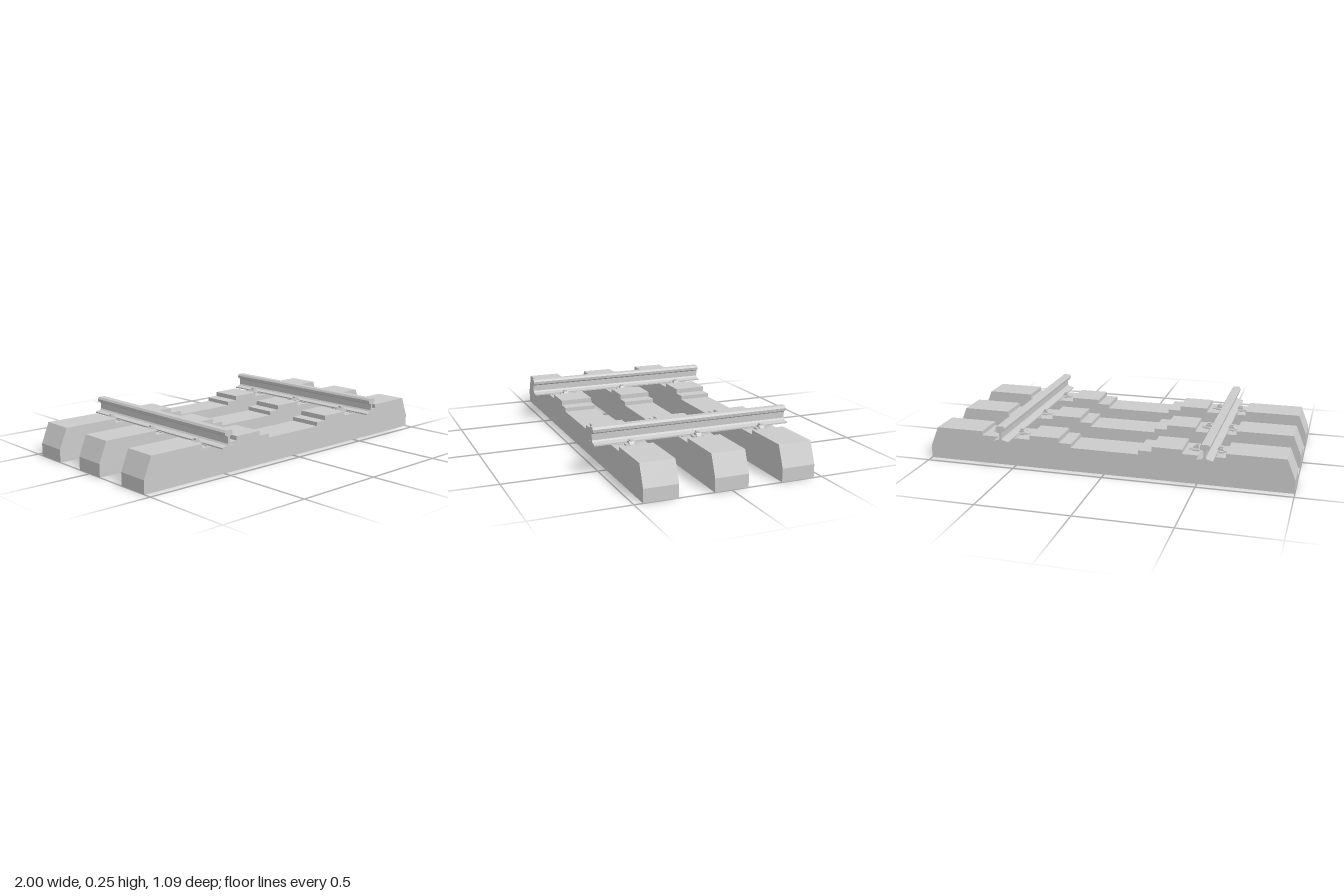
import * as THREE from 'three';

const material = new THREE.MeshStandardMaterial({ color: 0xcccccc, flatShading: true });

// Extrudes an x/y outline along z, centred on z = 0
function extrude(points, depth) {
  const shape = new THREE.Shape(points.map(([x, y]) => new THREE.Vector2(x, y)));
  const geometry = new THREE.ExtrudeGeometry(shape, { depth, bevelEnabled: false });
  return geometry.translate(0, 0, -depth / 2);
}

function addPart(parent, name, geometry, x = 0, y = 0, z = 0) {
  const mesh = new THREE.Mesh(geometry, material);
  mesh.name = name;
  mesh.position.set(x, y, z);
  parent.add(mesh);
  return mesh;
}

export function createModel() {
  const model = new THREE.Group();
  model.name = 'railwayTrack';

  const sleeperZ = [-0.365, 0, 0.365];
  const railX = [-0.552, 0.544];

  // Sleeper outline: sloping ends, recessed rail seats and a stepped middle
  const sleeper = extrude([
    [-1, 0], [1, 0], [1, 0.07], [0.955, 0.18],
    [0.69, 0.18], [0.69, 0.157], [0.416, 0.157], [0.416, 0.18],
    [0.25, 0.18], [0.25, 0.154], [0.183, 0.154], [0.183, 0.132],
    [-0.187, 0.132], [-0.187, 0.154], [-0.258, 0.154], [-0.258, 0.18],
    [-0.42, 0.18], [-0.42, 0.157], [-0.647, 0.157], [-0.647, 0.18],
    [-0.955, 0.18], [-1, 0.07],
  ], 0.18);

  // Rail outline: right half from foot to head, then mirrored
  const half = [
    [0.042, 0.16], [0.042, 0.167], [0.012, 0.174], [0.006, 0.182],
    [0.006, 0.215], [0.012, 0.221], [0.023, 0.224], [0.025, 0.239], [0.018, 0.25],
  ];
  const rail = extrude([...half, ...half.map(([x, y]) => [-x, y]).reverse()], 1.09);

  // Spring clip outline: a low strip bent up around its bolt
  const clip = extrude([
    [-0.04, 0.156], [0.04, 0.156], [0.04, 0.163], [0.02, 0.165],
    [0.009, 0.179], [-0.009, 0.179], [-0.02, 0.165], [-0.04, 0.163],
  ], 0.026);
  const bolt = new THREE.BoxGeometry(0.02, 0.012, 0.017);
  const washer = new THREE.BoxGeometry(0.034, 0.01, 0.06);

  for (const z of sleeperZ) {
    addPart(model, 'sleeper', sleeper, 0, 0, z);

    // Fastenings on both sides of each rail
    for (const x of railX) {
      addPart(model, 'railPad', new THREE.BoxGeometry(0.1, 0.006, 0.15), x, 0.158, z);
      for (const offset of [-0.055, 0.071]) {
        const fastening = new THREE.Group();
        fastening.name = 'fastening';
        fastening.position.set(x + offset, 0, z);
        addPart(fastening, 'springClip', clip);
        addPart(fastening, 'washer', washer, 0, 0.161, 0);
        addPart(fastening, 'bolt', bolt, 0, 0.18, 0);
        model.add(fastening);
      }
    }
  }

  for (const x of railX) addPart(model, 'rail', rail, x);

  return model;
}
